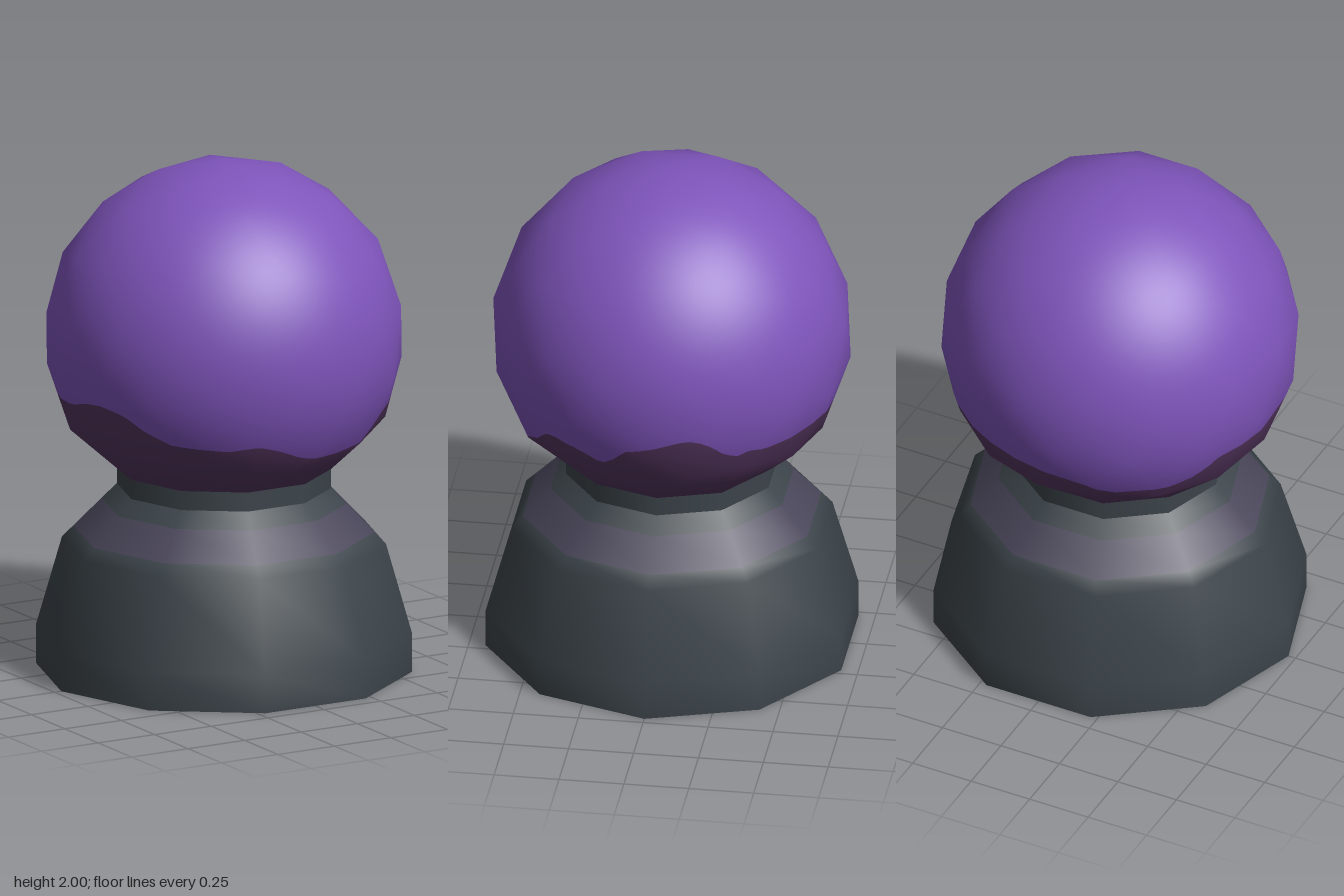
import * as THREE from 'three';

const mat = (name, color) => new THREE.MeshStandardMaterial({ name, color });

// Split a triangle of barycentric weights into n*n smaller ones
function eachCell(n, visit) {
  const w = (i, j) => [(n - i - j) / n, i / n, j / n];
  for (let i = 0; i < n; i++) {
    for (let j = 0; j < n - i; j++) {
      visit([w(i, j), w(i + 1, j), w(i, j + 1)]);
      if (i + j < n - 1) visit([w(i + 1, j), w(i + 1, j + 1), w(i, j + 1)]);
    }
  }
}

const blend = (vs, ws) => vs.reduce((s, v, i) => s.addScaledVector(v, ws[i]), new THREE.Vector3());

// Height of the wavy stain edge: [degrees from +x towards +z, y]
const STAIN = [
  [0, 1.125], [8, 1.10], [13, 1.045], [18, 1.02], [27, 1.06], [34, 1.08], [40, 1.08], [50, 1.0],
  [61, 0.955], [70, 0.935], [81, 0.935], [90, 0.95], [99, 0.99], [108, 1.02], [119, 1.0],
  [129, 1.01], [140, 1.02], [148, 1.06], [157, 1.12], [166, 1.145], [173, 1.14], [183, 1.11],
  [195, 1.10], [208, 1.09], [215, 1.02], [223, 1.0], [245, 0.99], [255, 1.03], [269, 1.05],
  [279, 1.065], [292, 1.08], [302, 1.07], [315, 1.065], [324, 1.08], [329, 1.065], [334, 1.09],
  [339, 1.14], [344, 1.165], [348, 1.165], [360, 1.125],
];
function stainHeight(x, z) {
  const a = (THREE.MathUtils.radToDeg(Math.atan2(z, x)) + 360) % 360;
  const i = Math.max(1, STAIN.findIndex((p) => p[0] >= a));
  const [a0, y0] = STAIN[i - 1], [a1, y1] = STAIN[i];
  return y0 + ((y1 - y0) * (a - a0)) / (a1 - a0);
}

// Keep the part of a triangle lying on one side of the stain edge
function clip(tri, sign) {
  const out = [];
  tri.forEach((a, i) => {
    const b = tri[(i + 1) % 3];
    const fa = a.f * sign, fb = b.f * sign;
    if (fa >= 0) out.push(a);
    if (fa >= 0 !== fb >= 0) {
      const t = fa / (fa - fb);
      out.push({ p: a.p.clone().lerp(b.p, t), n: a.n.clone().lerp(b.n, t) });
    }
  });
  return out;
}

// Faceted ball, open at the bottom where it meets the neck
function buildBall(upperMat, lowerMat) {
  const R = 0.69, CY = 1.31, EDGE = Math.atan(2);
  const ring = (y, start) => Array.from({ length: 5 }, (_, k) => {
    const a = start + (k * Math.PI * 2) / 5;
    return new THREE.Vector3(Math.cos(a) * 2, y, Math.sin(a) * 2).normalize();
  });
  const T = new THREE.Vector3(0, 1, 0), B = new THREE.Vector3(0, -1, 0);
  const U = ring(1, 0), L = ring(-1, Math.PI / 5);
  const faces = [];
  for (let k = 0; k < 5; k++) {
    const m = (k + 1) % 5;
    faces.push([T, U[m], U[k]], [U[k], U[m], L[k]], [U[m], L[m], L[k]], [L[k], L[m], B]);
  }

  // The lowest ring of corners sits on the neck's rim
  const place = (d) => {
    if (d.y > -0.72) return d.clone().multiplyScalar(R).setY(d.y * R + CY);
    const s = 0.41 / Math.hypot(d.x, d.z);
    return new THREE.Vector3(d.x * s, 0.79, d.z * s);
  };

  const sides = [{ pos: [], nor: [], sign: 1 }, { pos: [], nor: [], sign: -1 }];
  for (const face of faces) {
    eachCell(3, (cell) => {
      const dirs = cell.map((w) => blend(face, w.map((t) => Math.sin(t * EDGE))).normalize());
      if (dirs.some((d) => d.y < -0.9)) return;
      const corners = dirs.map(place);
      eachCell(6, (sub) => {
        const tri = sub.map((w) => {
          const p = blend(corners, w);
          return { p, n: blend(dirs, w), f: p.y - stainHeight(p.x, p.z) };
        });
        for (const side of sides) {
          const poly = clip(tri, side.sign);
          for (let i = 1; i + 1 < poly.length; i++) {
            for (const v of [poly[0], poly[i], poly[i + 1]]) {
              side.pos.push(...v.p.toArray());
              side.nor.push(...v.n.clone().normalize().toArray());
            }
          }
        }
      });
    });
  }

  const ball = new THREE.Group();
  ball.name = 'ball';
  sides.forEach((side, i) => {
    const g = new THREE.BufferGeometry();
    g.setAttribute('position', new THREE.Float32BufferAttribute(side.pos, 3));
    g.setAttribute('normal', new THREE.Float32BufferAttribute(side.nor, 3));
    const mesh = new THREE.Mesh(g, i ? lowerMat : upperMat);
    mesh.name = i ? 'ballStain' : 'ballSurface';
    ball.add(mesh);
  });
  return ball;
}

// Ten-sided turned shape with corners on the x axis
const turned = (pts) =>
  new THREE.LatheGeometry(pts.map(([r, y]) => new THREE.Vector2(r, y)), 10, Math.PI / 2);

export function createModel() {
  const purple = mat('purple', 0x7e54ba);
  const plum = mat('darkPlum', 0x553660);
  const slate = mat('slate', 0x3c444a);
  const band = mat('mutedViolet', 0x494559);

  const model = new THREE.Group();
  model.name = 'ballOnPedestal';
  const add = (name, geometry, material) => {
    const mesh = new THREE.Mesh(geometry, material);
    mesh.name = name;
    model.add(mesh);
    return mesh;
  };

  // Pedestal, with one painted band around its shoulder
  const profile = [[0.72, 0], [0.72, 0.15], [0.62, 0.5], [0.576, 0.545], [0.469, 0.655], [0.41, 0.715]];
  const body = turned(profile);
  const rows = profile.length - 1;
  for (let i = 0; i < 10; i++) {
    for (let j = 0; j < rows; j++) body.addGroup((i * rows + j) * 6, 6, j === 3 ? 1 : 0);
  }
  add('pedestal', body, [slate, band]);
  add('neck', turned([[0.41, 0.715], [0.41, 0.79]]), slate);
  add('pedestalBottom', new THREE.CircleGeometry(0.72, 10).rotateX(Math.PI / 2), slate);

  model.add(buildBall(purple, plum));
  return model;
}
